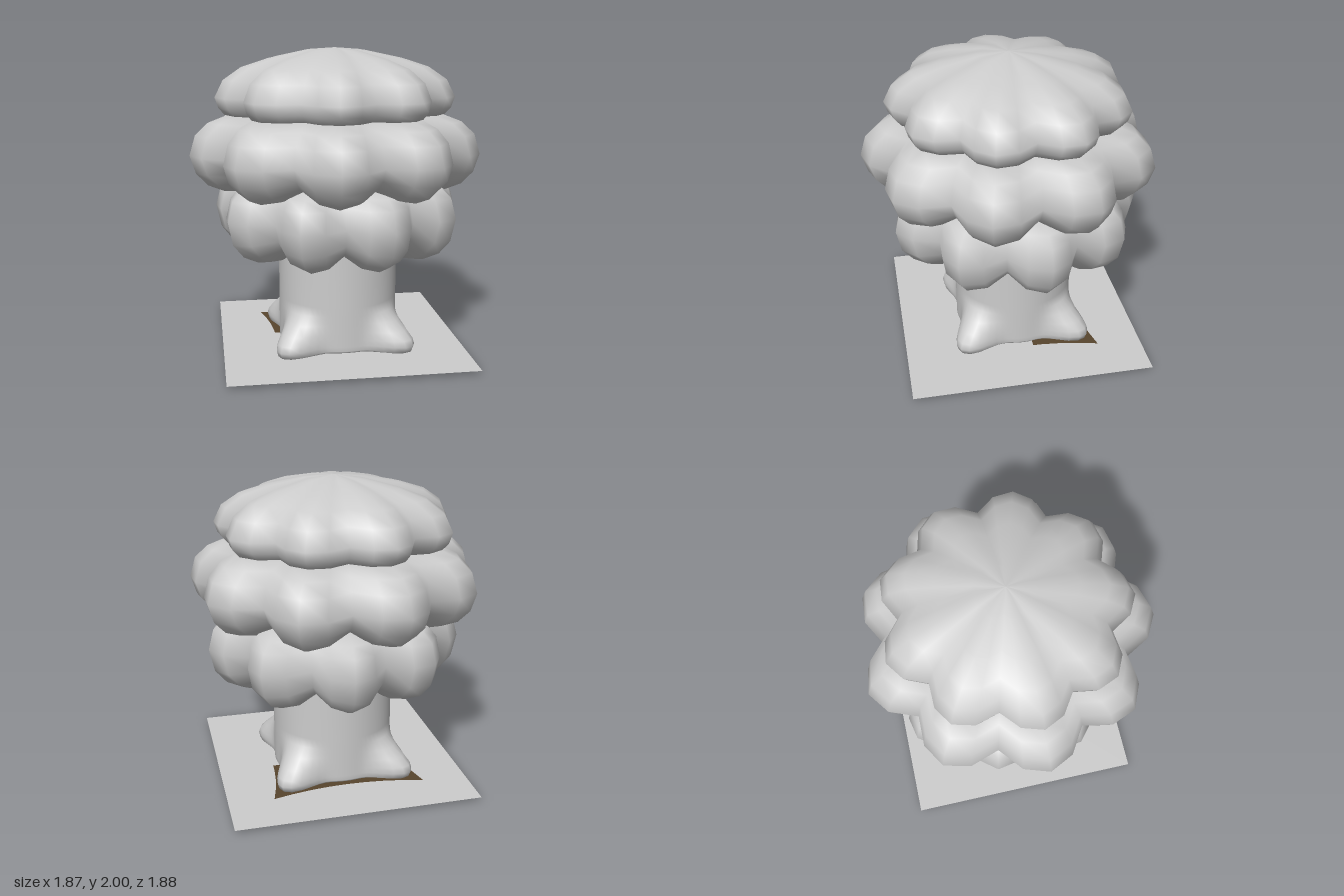
import * as THREE from 'three';

const RAD = Math.PI / 180;

// Smooth closed surface from rings listed top to bottom; point(ring, angle) gives [radius, y].
function loft(rings, segments, startDeg, point) {
  const pos = [], index = [];
  rings.forEach((ring) => {
    for (let j = 0; j < segments; j++) {
      const t = (j / segments) * Math.PI * 2;
      const [r, y] = point(ring, t);
      const a = t + startDeg * RAD;
      pos.push(r * Math.cos(a), y, r * Math.sin(a));
    }
  });
  for (let i = 0; i < rings.length - 1; i++) {
    for (let j = 0; j < segments; j++) {
      const k = (j + 1) % segments;
      const a = i * segments + j, b = i * segments + k;
      const c = a + segments, d = b + segments;
      index.push(a, b, c, b, d, c);
    }
  }
  const geo = new THREE.BufferGeometry();
  geo.setAttribute('position', new THREE.Float32BufferAttribute(pos, 3));
  geo.setIndex(index);
  geo.computeVertexNormals();
  return geo;
}

// Foliage tier with nine rounded lobes; rings are [fraction of radius, y].
function tierGeometry({ radius, notch, mid, lift, start, rings }) {
  return loft(rings, 36, start, ([f, y], t) => {
    const lobe = Math.abs(Math.sin(4.5 * t));
    const r = radius * f * (notch + (1 - notch) * lobe);
    const yy = y < mid ? mid + (y - mid) * (lift + (1 - lift) * lobe) : y;
    return [r, yy];
  });
}

export function createModel() {
  const group = new THREE.Group();
  const grey = new THREE.MeshStandardMaterial({ color: 0xcccccc });
  grey.name = 'light grey';
  const ground = new THREE.MeshStandardMaterial({ color: 0xcccccc, side: THREE.DoubleSide });
  ground.name = 'ground grey';
  const brown = new THREE.MeshStandardMaterial({ color: 0x58452d, side: THREE.DoubleSide });
  brown.name = 'soil brown';

  const add = (name, geo, mat, x = 0, y = 0, z = 0) => {
    const mesh = new THREE.Mesh(geo, mat);
    mesh.name = name;
    mesh.position.set(x, y, z);
    group.add(mesh);
    return mesh;
  };
  const cx = 0.025, cz = -0.025;

  // Three stacked foliage tiers
  add('topFoliage', tierGeometry({
    radius: 0.785, notch: 0.83, mid: 1.5, lift: 1, start: -84,
    rings: [[0.001, 2], [0.25, 1.985], [0.56, 1.935], [0.78, 1.88], [0.93, 1.8],
      [1, 1.69], [0.97, 1.62], [0.92, 1.577], [0.6, 1.575], [0.001, 1.575]],
  }), grey);
  add('middleFoliage', tierGeometry({
    radius: 0.955, notch: 0.82, mid: 1.32, lift: 0.66, start: -84,
    rings: [[0.001, 1.577], [0.74, 1.576], [0.87, 1.53], [0.96, 1.45], [1, 1.32],
      [0.96, 1.2], [0.88, 1.12], [0.77, 1.078], [0.66, 1.075], [0.5, 1.11], [0.001, 1.14]],
  }), grey);
  add('lowerFoliage', tierGeometry({
    radius: 0.835, notch: 0.8, mid: 0.93, lift: 0.72, start: -66,
    rings: [[0.001, 1.18], [0.7, 1.17], [0.88, 1.12], [0.96, 1.06], [1, 0.93],
      [0.96, 0.78], [0.87, 0.69], [0.74, 0.638], [0.64, 0.632], [0.5, 0.67], [0.001, 0.7]],
  }), grey, cx, 0, cz);

  // Trunk flaring into four diagonal roots; rings are [trunk radius, y, root reach, root drop]
  const trunkRings = [[0.4, 0.8, 0, 0], [0.4, 0.34, 0, 0], [0.4, 0.28, 0.015, 0], [0.4, 0.22, 0.08, 0],
    [0.4, 0.16, 0.15, 0], [0.4, 0.11, 0.2, 0], [0.4, 0.075, 0.215, 0.005],
    [0.4, 0.045, 0.2, 0.015], [0.395, 0.034, 0.15, 0.026], [0.36, 0.034, 0.1, 0.03], [0.25, 0.034, 0, 0]];
  add('trunkWithRoots', loft(trunkRings, 72, 0, ([r, y, reach, drop], t) => {
    const root = Math.pow(Math.abs(Math.sin(2 * t)), 6);
    return [r + reach * root, y - drop * root];
  }), grey, cx, 0, cz);

  // Flat ground sheet
  add('groundSheet', new THREE.PlaneGeometry(1.59, 1.59).rotateX(-Math.PI / 2), ground, cx, 0.028, cz);

  // Soil patch with concave sides, tilted slightly through the ground sheet
  const patch = new THREE.Shape();
  const s = 0.5, m = 0.36;
  patch.moveTo(-s, -s);
  patch.quadraticCurveTo(0, -m, s, -s);
  patch.quadraticCurveTo(m, 0, s, s);
  patch.quadraticCurveTo(0, m, -s, s);
  patch.quadraticCurveTo(-m, 0, -s, -s);
  const soil = add('soilPatch', new THREE.ShapeGeometry(patch, 8).rotateX(-Math.PI / 2), brown, cx, 0.0275, cz);
  soil.rotation.x = 0.008;

  return group;
}
